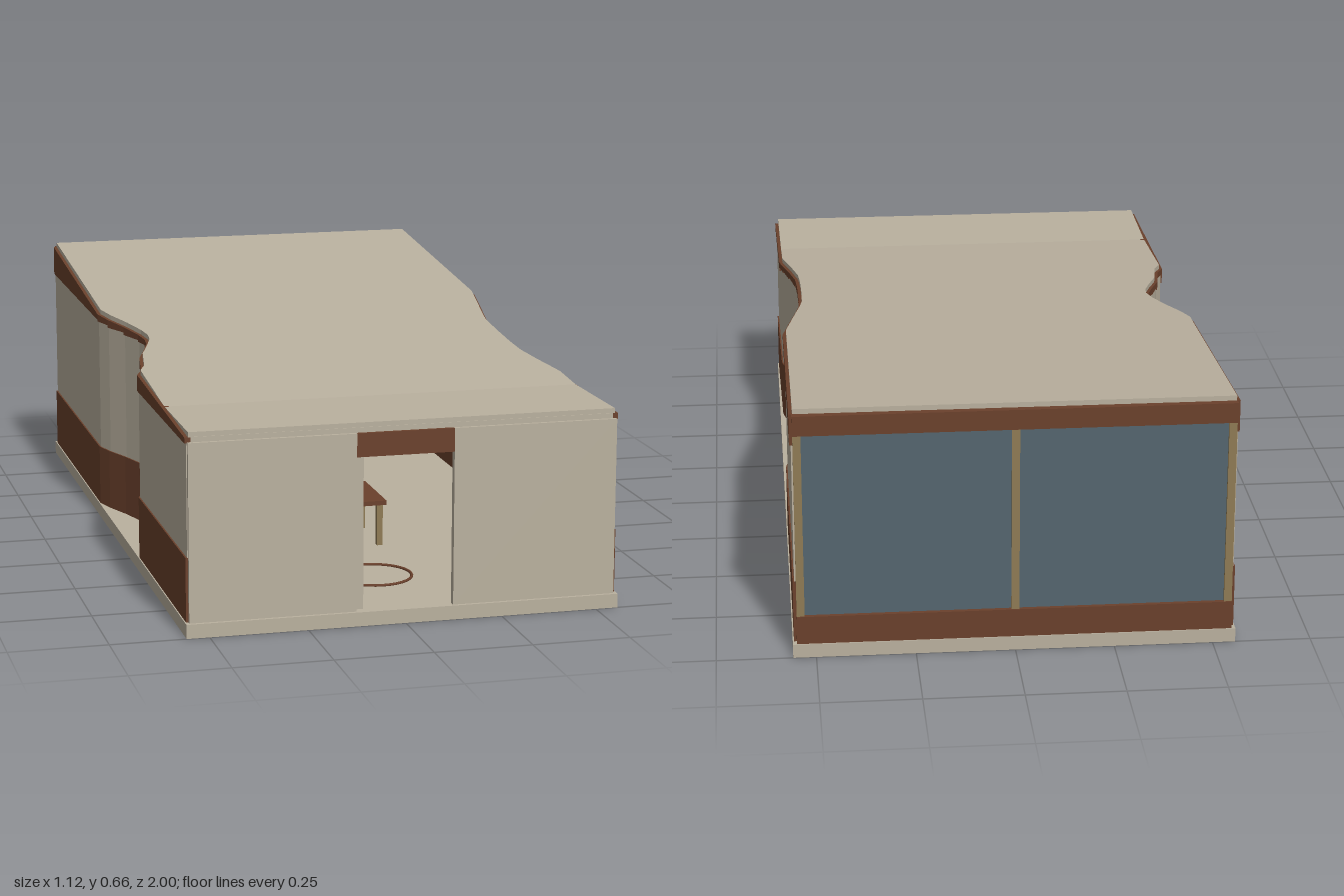
import * as THREE from 'three';
import { mergeGeometries } from 'three/addons/utils/BufferGeometryUtils.js';

const mat = (name, color) => {
  const m = new THREE.MeshStandardMaterial({ color });
  m.name = name;
  return m;
};

// Wall plan on each side as [z, x] from front to back, with a shallow inward curve
const LEFT = [[0.98, 0.555], [0.57, 0.55], [0.52, 0.54], [0.45, 0.525], [0.36, 0.509], [0.28, 0.505], [0.18, 0.504],
  [0.06, 0.505], [0, 0.514], [-0.12, 0.535], [-0.24, 0.555], [-0.98, 0.555]];
const RIGHT = [[0.98, 0.555], [0.37, 0.555], [0.33, 0.537], [0.22, 0.52], [0.15, 0.495], [0.09, 0.476], [0.05, 0.473],
  [0, 0.482], [-0.08, 0.507], [-0.16, 0.538], [-0.22, 0.555], [-0.98, 0.555]];

const BEND = 0.69; // the roof is flat in front of this line and rises behind it
const roofTop = (z) => 0.515 + Math.max(0, BEND - z) * 0.145 / 1.67;
const roofUnder = (z) => roofTop(z) - 0.013;

// Plan offset of a side at any z
function planX(path, z) {
  for (let i = 0; i < path.length - 1; i++) {
    const [z0, x0] = path[i], [z1, x1] = path[i + 1];
    if (z <= z0 && z >= z1) return x0 + (x1 - x0) * (z0 - z) / (z0 - z1);
  }
  return path[0][1];
}

// Block between a front and a back cross-section: each has z, low x, high x; y comes from functions of z
function block(front, back, bottom, top) {
  const g = new THREE.BoxGeometry(1, 1, 1);
  const p = g.attributes.position;
  for (let i = 0; i < p.count; i++) {
    const s = p.getZ(i) > 0 ? front : back;
    p.setXYZ(i, p.getX(i) > 0 ? s[2] : s[1], p.getY(i) > 0 ? top(s[0]) : bottom(s[0]), s[0]);
  }
  g.computeVertexNormals();
  return g;
}

export function createModel() {
  const root = new THREE.Group();
  root.name = 'pavilion';
  const cream = mat('cream plaster', 0xbab19f);
  const brown = mat('brown cladding', 0x6b412c);
  const wood = mat('pale wood', 0x8f7b55);
  const glass = mat('blue grey glass', 0x55666f);

  const add = (name, geo, material, parent = root) => {
    const m = new THREE.Mesh(geo, material);
    m.name = name;
    parent.add(m);
    return m;
  };
  // Box given by its minimum and maximum corners
  const box = (name, material, x0, x1, y0, y1, z0, z1, parent = root) => {
    const m = add(name, new THREE.BoxGeometry(x1 - x0, y1 - y0, z1 - z0), material, parent);
    m.position.set((x0 + x1) / 2, (y0 + y1) / 2, (z0 + z1) / 2);
    return m;
  };

  box('baseSlab', cream, -0.558, 0.558, 0, 0.036, -1, 1);

  // Side walls: brown plinth, plaster with a stepped top, brown band up to the roof
  const sideWall = (name, path, sign) => {
    const wall = new THREE.Group();
    wall.name = name;
    root.add(wall);
    const plinth = [], plaster = [], upper = [];
    for (let i = 0; i < path.length - 1; i++) {
      const section = ([z, x], inset) => sign > 0
        ? [z, x - 0.02, x - inset] : [z, inset - x, 0.02 - x];
      const piece = (inset, y0, y1) =>
        block(section(path[i], inset), section(path[i + 1], inset), y0, y1);
      // each step follows the roof height at the front end of its segment
      const step = Math.min(0.565, roofTop(path[i][0]) - 0.028);
      const level = i === path.length - 2 ? 0.565 : step;
      plinth.push(piece(0, () => 0.036, () => 0.2));
      plaster.push(piece(0.004, () => 0.2, () => level));
      upper.push(piece(0, () => level, roofUnder));
    }
    add('plinth', mergeGeometries(plinth), brown, wall);
    add('plaster', mergeGeometries(plaster), cream, wall);
    add('upperBand', mergeGeometries(upper), brown, wall);
  };
  sideWall('leftWall', LEFT, 1);
  sideWall('rightWall', RIGHT, -1);

  // Roof in slices that follow both curved sides and the bend
  const zs = [...new Set([...LEFT, ...RIGHT].map((p) => p[0]).concat(BEND))].sort((a, b) => b - a);
  const slice = (z) => [z, 0.009 - planX(RIGHT, z), planX(LEFT, z) - 0.009];
  const slices = [];
  for (let i = 0; i < zs.length - 1; i++) {
    slices.push(block(slice(zs[i]), slice(zs[i + 1]), roofUnder, roofTop));
  }
  add('roof', mergeGeometries(slices), cream);

  // Front wall with the doorway
  for (const s of [-1, 1]) {
    const [a, b] = s > 0 ? [0.125, 0.549] : [-0.549, -0.125];
    box('frontWall', cream, a, b, 0.036, 0.49, 0.972, 0.991);
  }
  box('lintel', brown, -0.125, 0.125, 0.43, 0.49, 0.972, 0.991);
  box('frontBeam', cream, -0.54, 0.54, 0.488, 0.503, 0.962, 0.982);
  box('openDoor', cream, -0.125, -0.103, 0.036, 0.43, 0.62, 0.972);

  // Glazed back wall
  const back = new THREE.Group();
  back.name = 'backWall';
  root.add(back);
  box('sillBand', brown, -0.548, 0.548, 0.036, 0.11, -0.997, -0.972, back);
  box('headBand', brown, -0.548, 0.548, 0.595, 0.647, -0.998, -0.972, back);
  box('window', glass, -0.54, 0.54, 0.11, 0.595, -0.986, -0.98, back);
  for (const x of [-0.537, 0, 0.537]) {
    box('mullion', wood, x - 0.01, x + 0.01, 0.11, 0.595, -0.994, -0.972, back);
  }

  // Table and floor ring inside
  const table = new THREE.Group();
  table.name = 'table';
  root.add(table);
  box('tableTop', brown, -0.11, 0.11, 0.15, 0.162, 0.2, 0.42, table);
  for (const x of [-0.095, 0.095]) {
    for (const z of [0.22, 0.4]) {
      box('tableLeg', wood, x - 0.008, x + 0.008, 0.036, 0.15, z - 0.008, z + 0.008, table);
    }
  }
  const ring = add('floorRing', new THREE.TorusGeometry(0.1, 0.004, 6, 32), brown);
  ring.rotation.x = Math.PI / 2;
  ring.position.set(0, 0.038, 0.69);

  return root;
}
